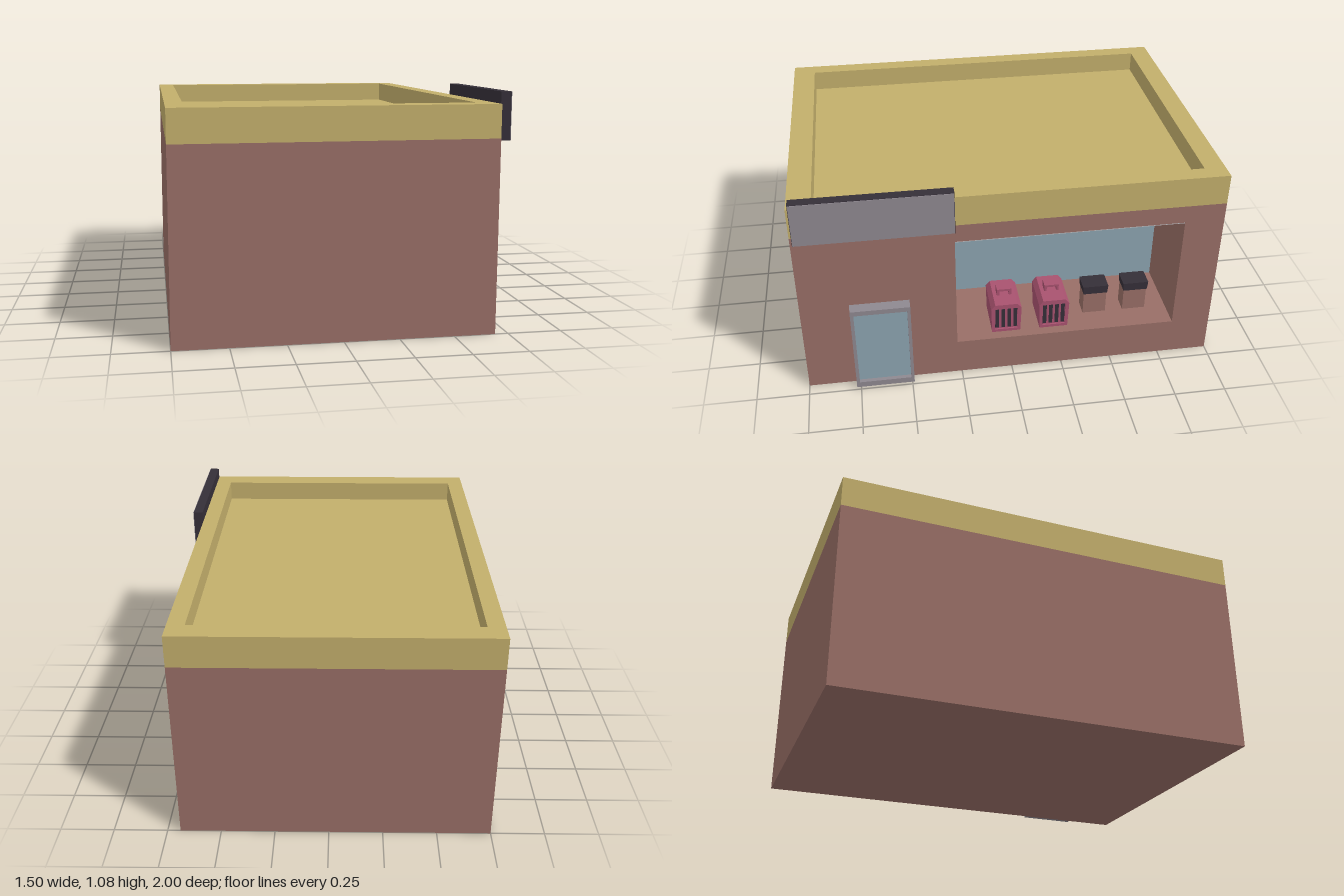
import * as THREE from 'three';

const mat = (name, color) => {
  const m = new THREE.MeshStandardMaterial({ color });
  m.name = name;
  return m;
};

export function createModel() {
  const brick = mat('brick', 0x986e66), sand = mat('sand', 0xc2ae6b);
  const glass = mat('glass', 0x8ca4b0), grey = mat('grey', 0x8e8890);
  const dark = mat('dark', 0x352f38), pink = mat('pink', 0xa8526f);
  const pale = mat('paleCeiling', 0xbfbdc1);
  const model = new THREE.Group();
  model.name = 'petShop';

  const add = (parent, name, geometry, material) => {
    const mesh = new THREE.Mesh(geometry, material);
    mesh.name = name;
    parent.add(mesh);
    return mesh;
  };
  // Box given by its lower and upper limits
  const box = (parent, name, material, [x0, y0, z0], [x1, y1, z1]) => {
    const g = new THREE.BoxGeometry(x1 - x0, y1 - y0, z1 - z0);
    g.translate((x0 + x1) / 2, (y0 + y1) / 2, (z0 + z1) / 2);
    return add(parent, name, g, material);
  };
  const outline = (points) => points.map(([a, b]) => new THREE.Vector2(a, b));
  const rect = (a0, b0, a1, b1) => [[a0, b0], [a1, b0], [a1, b1], [a0, b1]];
  const extrude = (points, hole, depth) => {
    const shape = new THREE.Shape(outline(points));
    if (hole) shape.holes.push(new THREE.Path(outline(hole)));
    return new THREE.ExtrudeGeometry(shape, { depth, bevelEnabled: false });
  };
  // Profile drawn as (-z, y), pushed out along +x from x0
  const extrudeX = (points, hole, x0, x1) =>
    extrude(points, hole, x1 - x0).rotateY(Math.PI / 2).translate(x0, 0, 0);

  // Brick building with a deep shop window on the +x side
  box(model, 'building', brick, [-0.75, 0, -1], [0.28, 0.88, 1]);
  add(model, 'shopWall', extrudeX(rect(-1, 0, 1, 0.88), rect(-0.27, 0.19, 0.81, 0.79), 0.28, 0.69), brick);
  box(model, 'windowBack', glass, [0.278, 0.19, -0.81], [0.285, 0.79, 0.27]);
  box(model, 'windowCeiling', pale, [0.285, 0.785, -0.81], [0.688, 0.79, 0.27]);

  // Flat roof inside a raised parapet
  const parapet = extrude(rect(-0.75, -1, 0.69, 1), rect(-0.67, -0.89, 0.61, 0.9), 0.15);
  add(model, 'parapet', parapet.rotateX(-Math.PI / 2).translate(0, 0.88, 0), sand);
  box(model, 'roof', sand, [-0.67, 0.88, -0.9], [0.61, 0.93, 0.89]);

  // Sign board
  box(model, 'signBoard', dark, [0.69, 0.87, 0.27], [0.737, 1.083, 0.985]);
  box(model, 'signFace', grey, [0.737, 0.872, 0.272], [0.74, 1.081, 0.983]);

  // Door
  add(model, 'doorFrame', extrudeX(rect(-0.77, 0.01, -0.49, 0.48), rect(-0.755, 0.04, -0.505, 0.455), 0.69, 0.745), grey);
  box(model, 'doorGlass', glass, [0.69, 0.04, 0.505], [0.725, 0.455, 0.755]);

  // Pet carriers with barred fronts and carry handles
  for (const z of [0.022, -0.215]) {
    const carrier = new THREE.Group();
    carrier.name = 'petCarrier';
    carrier.position.set(0, 0.19, z);
    model.add(carrier);
    const profile = [[-0.07, 0], [0.07, 0], [0.075, 0.14], [0.055, 0.165], [-0.055, 0.165], [-0.075, 0.14]];
    add(carrier, 'carrierBody', extrudeX(profile, null, 0.445, 0.635), pink);
    add(carrier, 'carrierRim', extrudeX(profile, rect(-0.056, 0.015, 0.056, 0.14), 0.635, 0.643), pink);
    for (let i = 0; i < 4; i++) {
      const c = -0.045 + i * 0.03;
      box(carrier, 'carrierSlot', dark, [0.634, 0.022, c - 0.009], [0.638, 0.135, c + 0.009]);
    }
    add(carrier, 'carrierHandle',
      extrudeX(rect(-0.036, 0.16, 0.036, 0.2), rect(-0.024, 0.165, 0.024, 0.188), 0.515, 0.565), pink);
  }

  // Lidded food tubs
  for (const z of [-0.44, -0.645]) {
    const tub = new THREE.Group();
    tub.name = 'foodTub';
    tub.position.set(0.52, 0.19, z);
    model.add(tub);
    box(tub, 'tubBody', brick, [-0.04, 0, -0.058], [0.04, 0.125, 0.058]);
    const lid = [[-0.06, 0.122], [0.06, 0.122], [0.064, 0.165], [-0.064, 0.165]];
    add(tub, 'tubLid', extrudeX(lid, null, -0.046, 0.046), dark);
  }

  return model;
}
